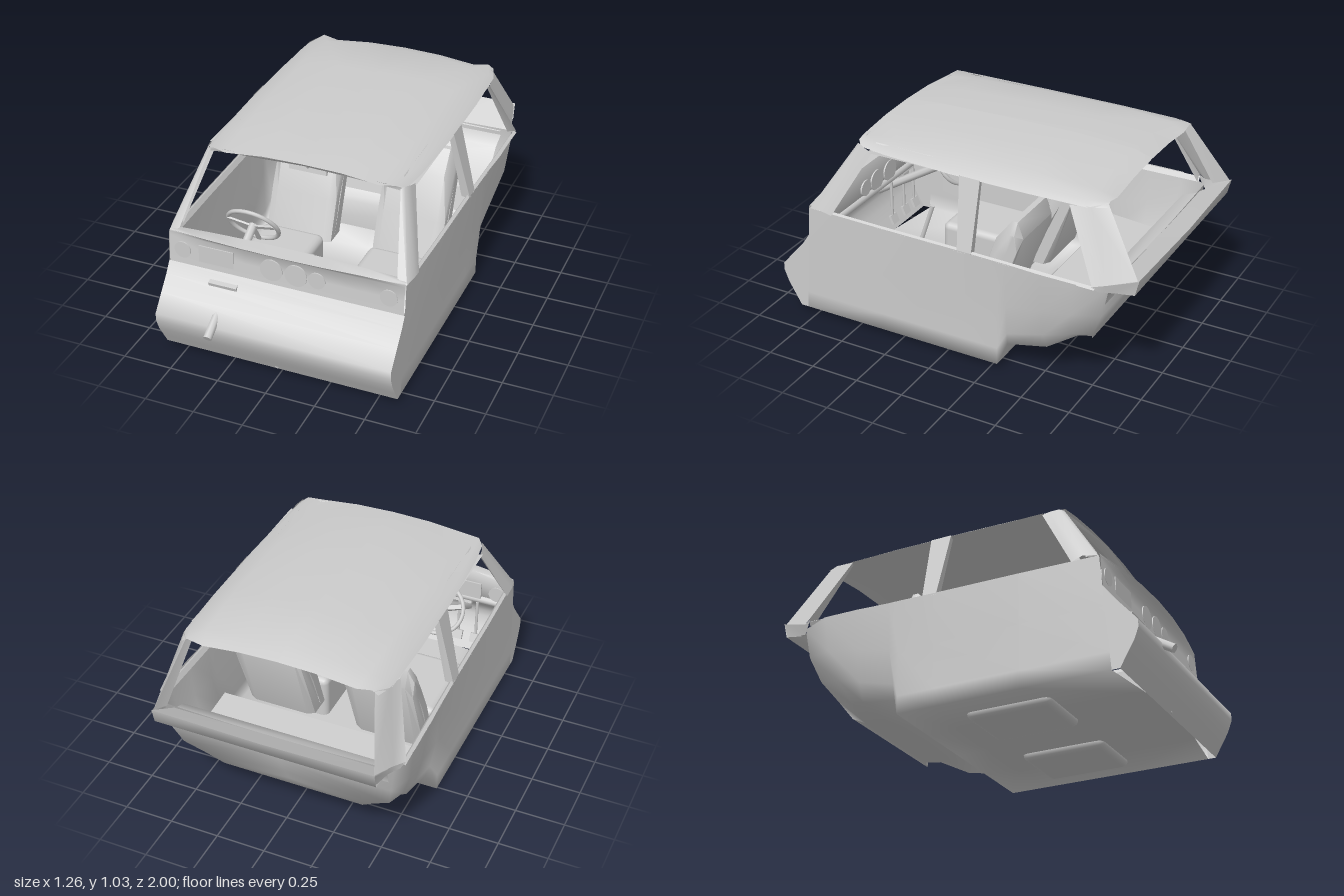
import * as THREE from 'three';
import { toCreasedNormals } from 'three/addons/utils/BufferGeometryUtils.js';
import { RoundedBoxGeometry } from 'three/addons/geometries/RoundedBoxGeometry.js';

const grey = new THREE.MeshStandardMaterial({ color: 0xcccccc, side: THREE.DoubleSide });
grey.name = 'paleGrey';

export function createModel() {
  const model = new THREE.Group();
  model.name = 'carCabin';

  function add(name, geometry, x = 0, y = 0, z = 0, rx = 0) {
    const mesh = new THREE.Mesh(geometry, grey);
    mesh.name = name;
    mesh.position.set(x, y, z);
    mesh.rotation.x = rx;
    model.add(mesh);
    return mesh;
  }

  // Skin joining rows of [x, y, z] points; side = -1 mirrors it in x
  function skin(rows, side = 1, crease = 0.8) {
    const n = rows[0].length, index = [];
    for (let r = 0; r < rows.length - 1; r++) {
      for (let c = 0; c < n - 1; c++) {
        const a = r * n + c, b = a + 1, d = a + n, e = d + 1;
        if (side > 0) index.push(a, d, b, b, d, e);
        else index.push(a, b, d, b, e, d);
      }
    }
    const points = rows.flat().flatMap(([x, y, z]) => [x * side, y, z]);
    const g = new THREE.BufferGeometry();
    g.setAttribute('position', new THREE.Float32BufferAttribute(points, 3));
    g.setIndex(index);
    return toCreasedNormals(g, crease);
  }

  // Straight round rod between two points
  function rod(name, a, b, radius, sides = 12) {
    const A = new THREE.Vector3(...a), B = new THREE.Vector3(...b);
    const mesh = add(name, new THREE.CylinderGeometry(radius, radius, A.distanceTo(B), sides));
    mesh.position.copy(A).add(B).multiplyScalar(0.5);
    mesh.quaternion.setFromUnitVectors(new THREE.Vector3(0, 1, 0), B.sub(A).normalize());
  }

  // Door side, sill and half floor at one station
  const station = (x, z) => [[x, 0.61, z], [0.605, 0.35, z], [0.6, 0.12, z],
    [0.6, 0.03, z], [0.3, 0.03, z], [0, 0.03, z]];
  const tub = [
    [[0.6, 0.61, 0.755], [0.6, 0.35, 0.775], [0.6, 0.12, 0.793], [0.6, 0.03, 0.8], [0.3, 0.03, 0.84], [0, 0.03, 0.84]],
    station(0.61, 0.35), station(0.615, -0.1), station(0.62, -0.29),
    // Raised rear floor with tapering corners
    [[0.62, 0.61, -0.34], [0.605, 0.37, -0.34], [0.575, 0.2, -0.33], [0.55, 0.125, -0.32], [0.3, 0.12, -0.32], [0, 0.12, -0.32]],
    [[0.63, 0.61, -0.52], [0.605, 0.4, -0.52], [0.57, 0.25, -0.52], [0.53, 0.16, -0.52], [0.3, 0.145, -0.52], [0, 0.145, -0.52]],
    [[0.63, 0.61, -0.7], [0.61, 0.43, -0.68], [0.565, 0.29, -0.65], [0.44, 0.21, -0.64], [0.3, 0.162, -0.65], [0, 0.162, -0.65]],
    // Tail panel
    [[0.59, 0.59, -0.835], [0.57, 0.44, -0.815], [0.54, 0.31, -0.76], [0.44, 0.23, -0.715], [0.37, 0.165, -0.68], [0, 0.165, -0.68]],
    [[0, 0.58, -0.84], [0, 0.44, -0.82], [0, 0.31, -0.76], [0, 0.23, -0.715], [0, 0.165, -0.68], [0, 0.165, -0.68]],
  ];

  // Half roof rows from edge to centre: [z, centre height, edge height, edge half width]
  const roof = [[0.55, 1.0, 0.96, 0.5], [0.36, 1.018, 0.955, 0.515], [0, 1.027, 0.95, 0.53],
    [-0.4, 1.03, 0.95, 0.53], [-0.7, 1.015, 0.95, 0.52], [-0.79, 0.985, 0.955, 0.49]]
    .map(([z, top, edge, w]) => [[w, edge, z - (z > 0.5 ? 0.05 : 0)], [w - 0.03, edge + 0.02, z - (z > 0.5 ? 0.02 : 0)],
      [w * 0.78, top - 0.026, z], [w * 0.4, top - 0.006, z], [0, top, z]]);

  // Front seat back: side profile, lowered and thinned at the outer edges
  const seatProfile = [[-0.04, 0.18], [-0.12, 0.4], [-0.2, 0.62], [-0.285, 0.732], [-0.315, 0.732], [-0.345, 0.65], [-0.19, 0.18], [-0.04, 0.18]];
  const seatRow = (x, drop, thin) => seatProfile.map(([z, y]) => {
    const middle = -0.1 - 0.38 * (y - 0.18);
    return [x, y > 0.5 ? y - drop : y, middle + (z - middle) * thin];
  });
  const seatRows = [[-0.18, 0.06, 0], [-0.18, 0.06, 0.75], [-0.145, 0, 1], [0.145, 0, 1], [0.18, 0.06, 0.75], [0.18, 0.06, 0]]
    .map(r => seatRow(...r));

  for (const side of [1, -1]) {
    const tag = side > 0 ? 'left' : 'right';
    add(tag + 'BodyShell', skin(tub, side, 1.7));
    add(tag + 'Roof', skin(roof, side));
    add(tag + 'RoofRail', skin([0.44, 0, -0.4, -0.63].map(z =>
      [[0.525, 0.95, z], [0.49, 0.945, z], [0.46, 0.98, z]]), side));
    add(tag + 'FrontPillar', skin([
      [[0.55, 0.63, 0.74], [0.6, 0.61, 0.75], [0.615, 0.62, 0.68], [0.61, 0.605, 0.62], [0.57, 0.61, 0.66]],
      [[0.48, 0.965, 0.53], [0.495, 0.97, 0.51], [0.51, 0.96, 0.47], [0.515, 0.95, 0.43], [0.48, 0.95, 0.46]]], side));
    add(tag + 'MiddlePillar', skin([
      [[0.57, 0.6, -0.09], [0.615, 0.6, -0.085], [0.615, 0.6, -0.16], [0.57, 0.6, -0.155]],
      [[0.5, 0.955, -0.06], [0.53, 0.955, -0.055], [0.53, 0.955, -0.165], [0.5, 0.955, -0.16]]], side));
    add(tag + 'RearPillar', skin([
      [[0.58, 0.6, -0.8], [0.63, 0.62, -0.79], [0.59, 0.62, -0.84], [0.555, 0.665, -0.98], [0.53, 0.64, -0.9]],
      [[0.49, 0.95, -0.64], [0.525, 0.945, -0.62], [0.515, 0.955, -0.72], [0.47, 0.97, -0.785], [0.45, 0.965, -0.75]]], side));
    // Rear corner between body side and tail lip
    add(tag + 'RearCorner', skin([
      [[0.63, 0.62, -0.785], [0.59, 0.62, -0.84], [0.56, 0.665, -0.985]],
      [[0.61, 0.59, -0.81], [0.57, 0.575, -0.85], [0.55, 0.59, -0.97]]], side, 1.7));
    add(tag + 'WindowLedge', skin([0.74, 0.35, -0.1, -0.3, -0.8].map((z, i) => {
      const x = [0.6, 0.61, 0.615, 0.62, 0.63][i];
      return [[x, 0.605, z], [x - 0.015, 0.615, z], [x - 0.03, 0.59, z]];
    }), side));

    // Front seat, its cushion reaching through the floor
    const seat = side * 0.295;
    add(tag + 'SeatCushion', new RoundedBoxGeometry(0.34, 0.26, 0.44, 2, 0.035), seat, 0.13, 0.215);
    add(tag + 'SeatBack', skin(seatRows), seat);
  }

  // Window header and tail lip across the cabin
  add('windscreenHeader', skin([-0.48, -0.39, 0, 0.39, 0.48].map(x => {
    const d = 0.03 * (x / 0.48) ** 2;
    return [[x, 0.998 - d, 0.55 - d], [x, 0.972 - d * 0.7, 0.52], [x, 0.98 - d, 0.45]];
  })));
  add('tailLip', skin([-0.56, -0.3, 0, 0.3, 0.56].map(x =>
    [[x, 0.5, -0.826], [x, 0.57, -0.84], [x, 0.59, -0.97], [x, 0.67, -1 + 0.02 * Math.abs(x)], [x * 0.95, 0.575, -0.83]]), 1, 1.7));

  // Firewall with its triangular end cheeks
  const wall = [[0.03, 0.84], [0.09, 0.875], [0.15, 0.91], [0.21, 0.933], [0.25, 0.933], [0.33, 0.865], [0.4, 0.805], [0.455, 0.768]];
  const wallRow = x => wall.map(([y, z]) => [x, y, z]);
  const cheekRow = x => wall.map(([y]) => [x, y, 0.802 - 0.079 * y]);
  add('firewall', skin([cheekRow(-0.6), wallRow(-0.6), wallRow(0.6), cheekRow(0.6)]));

  // Dashboard with a bowed top lip
  add('dashboard', skin([-0.595, -0.4, -0.2, 0, 0.2, 0.4, 0.595].map(x => {
    const b = 1 - (x / 0.595) ** 2;
    return [[x, 0.455, 0.768], [x, 0.53, 0.763], [x, 0.6, 0.759], [x, 0.615 + b * 0.01, 0.758 + b * 0.03],
      [x, 0.622 + b * 0.015, 0.755 + b * 0.05], [x, 0.625 + b * 0.018, 0.725], [x, 0.6, 0.712], [x, 0.48, 0.72], [x, 0.455, 0.768]];
  }), 1, 1.2));
  for (const [x, r] of [[-0.525, 0.043], [-0.065, 0.057], [0.06, 0.057], [0.165, 0.043], [0.52, 0.043]]) {
    add('instrument', new THREE.CylinderGeometry(r, r, 0.06, 24), x, 0.53, 0.737, Math.PI / 2);
  }
  add('gaugePanel', new THREE.BoxGeometry(0.18, 0.095, 0.06), -0.35, 0.527, 0.736);
  rod('dashRail', [-0.58, 0.47, 0.725], [0.58, 0.47, 0.725], 0.022);

  // Steering column and three spoke wheel
  const wheel = new THREE.Group();
  wheel.name = 'steeringWheel';
  wheel.position.set(-0.3, 0.545, 0.46);
  wheel.rotation.x = Math.atan2(0.31, 0.5);
  const rim = new THREE.Mesh(new THREE.TorusGeometry(0.13, 0.011, 8, 28), grey);
  rim.name = 'wheelRim';
  wheel.add(rim);
  for (const angle of [0.3, Math.PI - 0.3, -Math.PI / 2]) {
    const spoke = new THREE.Mesh(new THREE.BoxGeometry(0.13, 0.022, 0.01), grey);
    spoke.name = 'wheelSpoke';
    spoke.position.set(Math.cos(angle) * 0.065, Math.sin(angle) * 0.065, 0.01);
    spoke.rotation.z = angle;
    wheel.add(spoke);
  }
  model.add(wheel);
  rod('steeringColumn', [-0.3, 0.545, 0.46], [-0.3, 0.22, 0.985], 0.022, 8);

  // Pedal bracket, pedals and gear lever
  add('pedalBracket', new THREE.BoxGeometry(0.145, 0.03, 0.05), -0.3, 0.405, 0.787, 0.3);
  for (const x of [-0.4, -0.3, -0.18]) {
    rod('pedalArm', [x, 0.4, 0.78], [x, 0.18, 0.78], 0.008, 8);
    add('pedal', new THREE.BoxGeometry(0.055, 0.05, 0.015), x, 0.17, 0.77, 0.4);
  }
  rod('gearLinkage', [-0.01, 0.045, 0.85], [-0.01, 0.12, 0.52], 0.01, 8);
  rod('gearLever', [-0.01, 0.12, 0.52], [-0.01, 0.42, 0.42], 0.012, 8);

  // Rear bench sheet from the tail down to the raised floor
  add('rearBench', skin([-1, 1].map(s => [[0.54, 0.56, -0.82], [0.54, 0.53, -0.74], [0.52, 0.31, -0.63],
    [0.52, 0.33, -0.37], [0.52, 0.28, -0.33], [0.52, 0.13, -0.32]].map(([x, y, z]) => [x * s, y, z]))));

  // Rear view mirror
  add('mirror', new THREE.BoxGeometry(0.19, 0.045, 0.015), 0, 0.94, 0.47, -0.15);
  rod('mirrorStem', [0, 0.94, 0.475], [0, 0.985, 0.5], 0.006, 8);
  return model;
}
